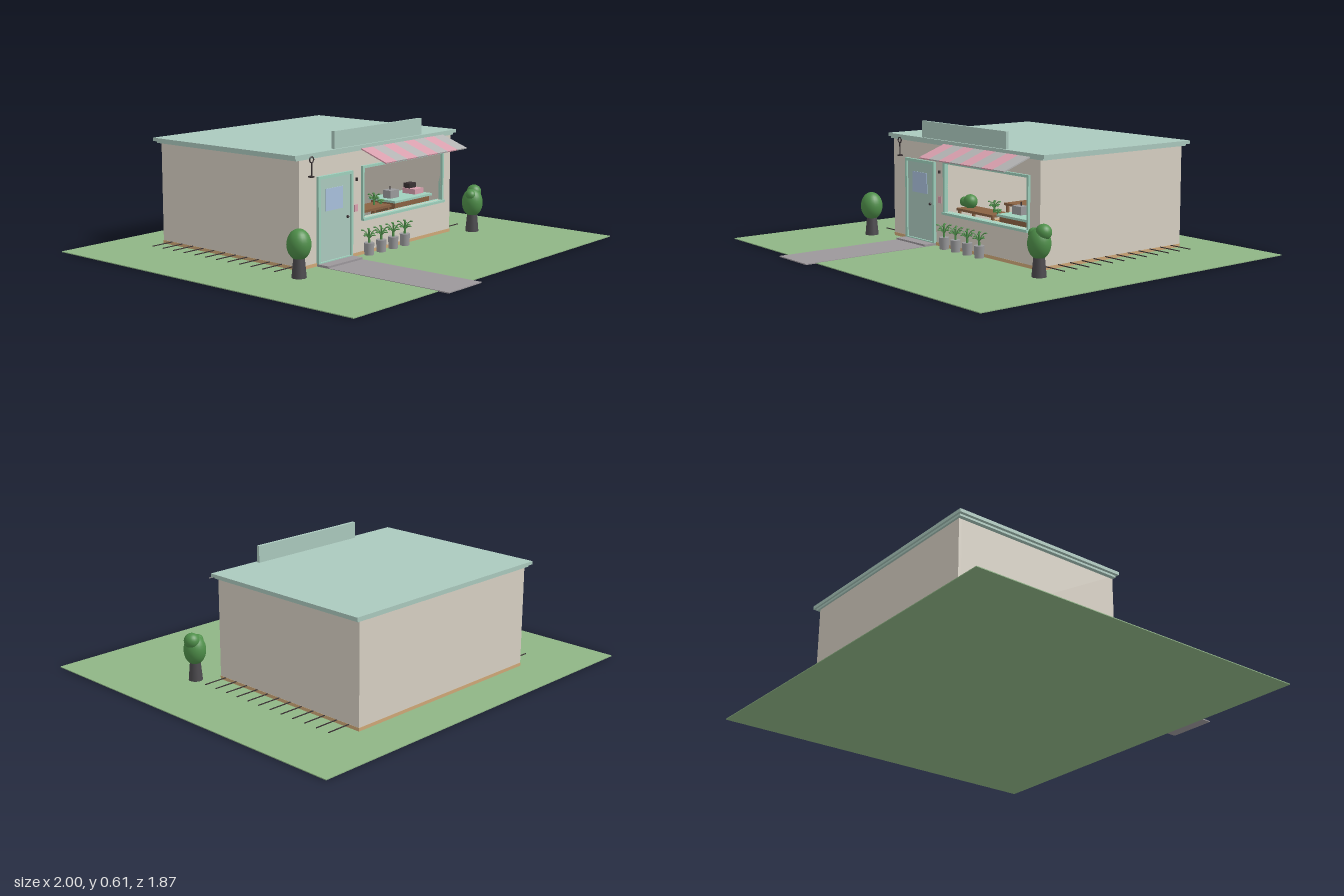
import * as THREE from 'three';

const mat = (color, side = THREE.FrontSide) => new THREE.MeshStandardMaterial({ color, side });
const M = {
  grass: mat(0x8fb585), path: mat(0x9c979b), wall: mat(0xd8d1c4), teal: mat(0xabc9be), trim: mat(0x9fd0bd),
  wood: mat(0xcfa878), brown: mat(0x8a6243), dark: mat(0x3a3234), grey: mat(0x9a9a9c), pot: mat(0x4c4a4e),
  leaf: mat(0x4f8f4a), glass: mat(0xa9c0dc), pink: mat(0xd9a0ae), stripe: mat(0xb4b4b4),
};

export function createModel() {
  const root = new THREE.Group();

  const add = (name, geo, m, x = 0, y = 0, z = 0, parent = root) => {
    const mesh = new THREE.Mesh(geo, m);
    mesh.name = name;
    mesh.position.set(x, y, z);
    parent.add(mesh);
    return mesh;
  };
  // Box given by its minimum and maximum on each axis
  const box = (name, m, x0, x1, y0, y1, z0, z1, parent = root) =>
    add(name, new THREE.BoxGeometry(x1 - x0, y1 - y0, z1 - z0), m,
      (x0 + x1) / 2, (y0 + y1) / 2, (z0 + z1) / 2, parent);
  const rect = (T, x0, x1, y0, y1) => new T().setFromPoints([[x0, y0], [x1, y0], [x1, y1], [x0, y1], [x0, y0]]
    .map(([x, y]) => new THREE.Vector2(x, y)));
  // Rectangular plate with rectangular holes
  const plate = (name, m, outer, holes, depth, z) => {
    const s = rect(THREE.Shape, ...outer);
    holes.forEach(h => s.holes.push(rect(THREE.Path, ...h)));
    return add(name, new THREE.ExtrudeGeometry(s, { depth, bevelEnabled: false }), m, 0, 0, z);
  };
  const ball = (name, m, r, x, y, z, parent, sy = 1) => {
    const b = add(name, new THREE.SphereGeometry(r, 24, 16), m, x, y, z, parent);
    b.scale.y = sy;
    return b;
  };
  const group = (name, x, y, z) => {
    const g = new THREE.Group();
    g.name = name;
    g.position.set(x, y, z);
    root.add(g);
    return g;
  };

  // Grounds
  box('lawn', M.grass, -1, 1, 0, 0.004, -0.935, 0.875);
  box('path', M.path, -0.45, -0.21, 0.001, 0.006, 0.2, 0.93);
  box('doorStep', M.path, -0.45, -0.21, 0, 0.015, 0.19, 0.265);

  // Floor slab with plank seams that run out past the side walls
  box('floor', M.wood, -0.566, 0.566, 0.002, 0.02, -0.701, 0.196);
  for (let i = 0; i < 12; i++) {
    const z = -0.64 + i * 0.0727;
    box('plankSeam', M.dark, -0.69, 0.69, 0.017, 0.021, z - 0.002, z + 0.002);
  }

  // Walls
  const win = [-0.125, 0.485, 0.18, 0.415];
  plate('frontWall', M.wall, [-0.565, 0.565, 0.02, 0.505], [win], 0.015, 0.18);
  box('backWall', M.wall, -0.565, 0.565, 0.02, 0.505, -0.7, -0.685);
  for (const s of [-1, 1])
    box('sideWall', M.wall, s * 0.5575 - 0.0075, s * 0.5575 + 0.0075, 0.02, 0.505, -0.685, 0.18);

  // Roof and blank sign board
  box('roofEdge', M.teal, -0.585, 0.585, 0.5, 0.512, -0.71, 0.198);
  box('roof', M.teal, -0.6, 0.6, 0.51, 0.526, -0.72, 0.205);
  box('signBoard', M.teal, -0.325, 0.325, 0.526, 0.607, 0.178, 0.194);

  // Door
  plate('doorFrame', M.trim, [-0.45, -0.21, 0.015, 0.415], [[-0.436, -0.224, 0.02, 0.401]], 0.016, 0.193);
  box('door', M.teal, -0.436, -0.224, 0.018, 0.401, 0.19, 0.2);
  box('doorPane', M.glass, -0.395, -0.275, 0.25, 0.352, 0.199, 0.203);
  ball('doorKnob', M.dark, 0.007, -0.245, 0.205, 0.206);

  // Window frame, sill and striped awning
  plate('windowFrame', M.trim, [-0.138, 0.497, 0.168, 0.427], [win], 0.022, 0.185);
  box('windowSill', M.trim, -0.138, 0.497, 0.168, 0.18, 0.17, 0.215);
  const awning = group('awning', 0, 0.507, 0.198);
  awning.rotation.x = Math.atan2(0.053, 0.147);
  const stripeWidth = 0.636 / 8;
  for (let i = 0; i < 8; i++) {
    const x = -0.14 + i * stripeWidth;
    box('awningStripe', i % 2 ? M.stripe : M.pink, x, x + stripeWidth, -0.004, 0.002, 0, 0.156, awning);
  }

  // Wall lamp, notice and bell
  const lamp = group('wallLamp', -0.495, 0, 0.204);
  add('lampRing', new THREE.TorusGeometry(0.013, 0.003, 8, 24), M.dark, 0, 0.498, 0.004, lamp);
  add('lampRod', new THREE.CylinderGeometry(0.003, 0.003, 0.065, 8), M.dark, 0, 0.453, 0.004, lamp);
  box('lampFoot', M.dark, -0.009, 0.009, 0.418, 0.425, -0.01, 0.012, lamp);
  box('notice', M.pink, -0.187, -0.165, 0.217, 0.25, 0.194, 0.199);
  box('bell', M.dark, -0.179, -0.172, 0.362, 0.377, 0.194, 0.206);

  // Trees in tapered tubs
  const tree = (name, x, balls) => {
    const g = group(name, x, 0, 0.275);
    add('tub', new THREE.CylinderGeometry(0.025, 0.034, 0.095, 24), M.pot, 0, 0.0475, 0, g);
    balls.forEach(([r, bx, y, z, sy]) => ball('crown', M.leaf, r, bx, y, z, g, sy));
  };
  tree('leftOfDoorTree', -0.655, [[0.055, 0, 0.152, 0, 1.27]]);
  tree('cornerTree', 0.652, [[0.053, 0, 0.152, 0, 1.35], [0.037, 0.022, 0.203, -0.006, 1], [0.026, -0.026, 0.193, 0.008, 1]]);

  // Leafy plant: stem with splayed twigs and leaf tips
  const plant = (x, y, z, h, parent) => {
    add('stem', new THREE.CylinderGeometry(0.004, 0.006, h, 8), M.leaf, x, y + h / 2, z, parent);
    for (let k = 0; k < 8; k++) {
      const a = k * Math.PI / 4, r = h * 0.45, up = y + h * (k % 2 ? 0.95 : 0.65);
      const curve = new THREE.QuadraticBezierCurve3(
        new THREE.Vector3(x, y + h * 0.35, z), new THREE.Vector3(x + Math.cos(a) * r * 0.4, up, z + Math.sin(a) * r * 0.4),
        new THREE.Vector3(x + Math.cos(a) * r, up, z + Math.sin(a) * r));
      add('twig', new THREE.TubeGeometry(curve, 6, 0.0025, 5), M.leaf, 0, 0, 0, parent);
      ball('leafTip', M.leaf, 0.007, x + Math.cos(a) * r, up, z + Math.sin(a) * r, parent, 0.5);
    }
  };
  // Row of potted plants below the window
  for (let i = 0; i < 4; i++) {
    const g = group('pottedPlant', -0.11 + i * 0.091, 0, 0.222);
    add('pot', new THREE.CylinderGeometry(0.025, 0.022, 0.06, 20), M.grey, 0, 0.032, 0, g);
    plant(0, 0.055, 0, 0.07, g);
  }

  // Inside: tables with legs, counter, till and plants
  const table = (name, x0, x1, z0, z1, top) => {
    const g = group(name, 0, 0, 0);
    box('tableTop', M.brown, x0, x1, top - 0.012, top, z0, z1, g);
    for (const x of [x0 + 0.012, x1 - 0.012]) for (const z of [z0 + 0.012, z1 - 0.012])
      box('tableLeg', M.brown, x - 0.006, x + 0.006, 0.02, top - 0.012, z - 0.006, z + 0.006, g);
  };
  table('windowTable', -0.12, 0.16, 0.03, 0.14, 0.195);
  table('backTable', -0.12, 0.14, -0.3, -0.16, 0.19);
  const inside = group('shopPlants', 0, 0, 0);
  ball('bush', M.leaf, 0.035, -0.085, 0.225, 0.08, inside);
  ball('bush', M.leaf, 0.024, -0.118, 0.222, 0.09, inside);
  plant(0.1, 0.195, 0.08, 0.055, inside);
  plant(0.14, 0.19, 0.09, 0.025, inside);
  box('counter', M.brown, 0.2, 0.48, 0.02, 0.195, -0.02, 0.13);
  box('counterTop', M.trim, 0.19, 0.49, 0.195, 0.206, -0.03, 0.14);
  box('scale', M.grey, 0.23, 0.295, 0.206, 0.245, 0.03, 0.08);
  add('scaleRod', new THREE.CylinderGeometry(0.003, 0.003, 0.02, 8), M.dark, 0.262, 0.253, 0.05);
  box('till', M.pink, 0.4, 0.47, 0.206, 0.232, 0.02, 0.1);
  box('tillTop', M.dark, 0.408, 0.462, 0.232, 0.256, 0.02, 0.06);

  return root;
}
